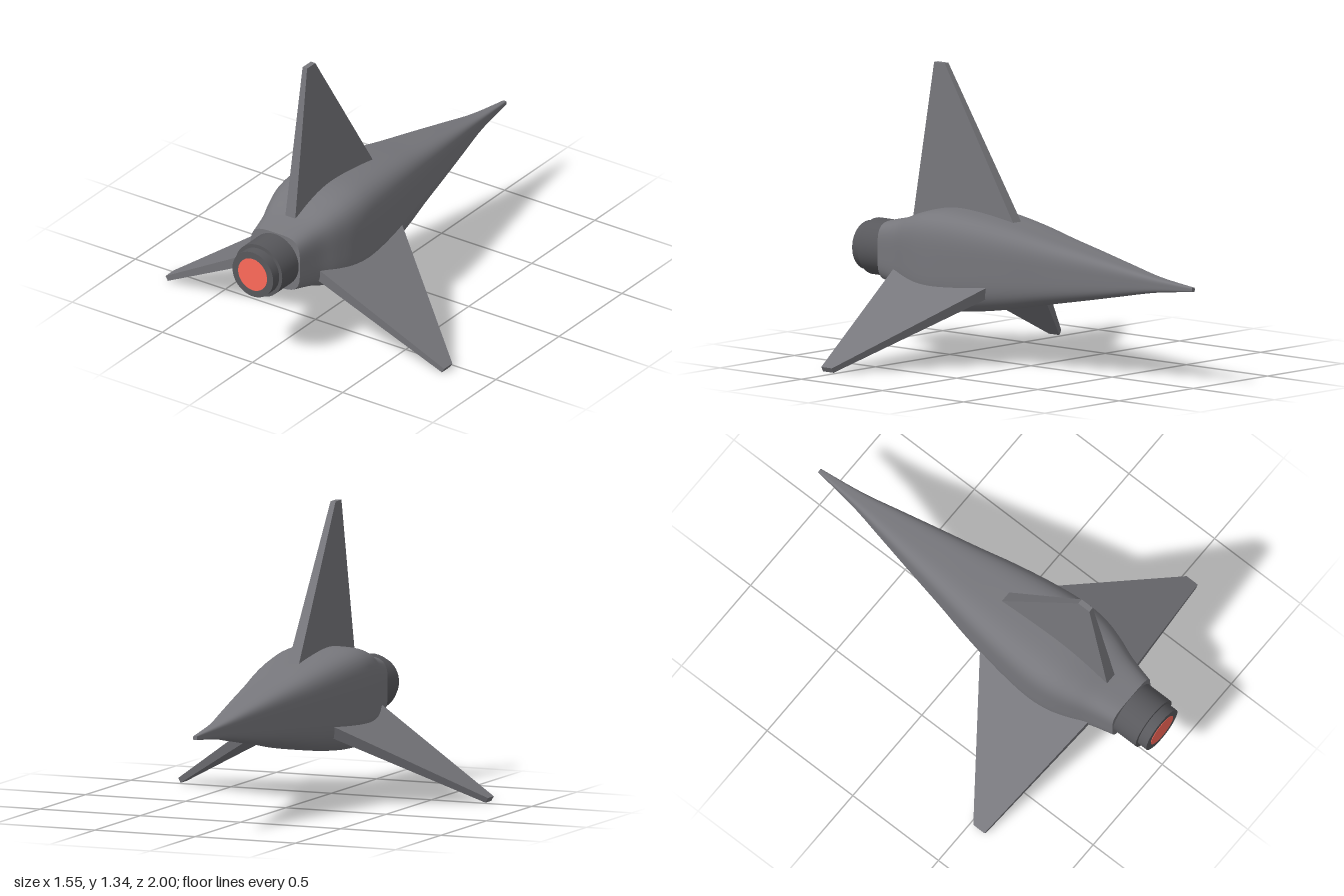
import * as THREE from 'three';
import { mergeVertices } from 'three/addons/utils/BufferGeometryUtils.js';

const AXIS_Y = 0.455;
const hullMat = new THREE.MeshStandardMaterial({ color: 0x77777c });
const nozzleMat = new THREE.MeshStandardMaterial({ color: 0x58585c });
const glowMat = new THREE.MeshStandardMaterial({ color: 0xff6a5a });

// Lathe along z whose round section is pushed out to a rounded square
function squircleLathe(points) {
  const geo = new THREE.LatheGeometry(points, 72);
  const p = geo.attributes.position;
  const n = 4;
  for (let i = 0; i < p.count; i++) {
    const x = p.getX(i), z = p.getZ(i), r = Math.hypot(x, z);
    if (r < 1e-6) continue;
    const f = Math.pow(Math.abs(x / r) ** n + Math.abs(z / r) ** n, -1 / n);
    p.setX(i, x * f);
    p.setZ(i, z * f);
  }
  geo.rotateX(Math.PI / 2);
  geo.deleteAttribute('uv');
  geo.deleteAttribute('normal');
  const merged = mergeVertices(geo, 1e-5);
  merged.computeVertexNormals();
  return merged;
}

// Tapered fin: box corners moved to root and tip chords
function finGeometry() {
  const root = { y: 0.165, back: 0.7, front: 0.065, half: 0.0275 };
  const tip = { y: 0.885, back: 0.585, front: 0.52, half: 0.0125 };
  const geo = new THREE.BoxGeometry(1, 1, 1);
  const p = geo.attributes.position;
  for (let i = 0; i < p.count; i++) {
    const e = p.getY(i) > 0 ? tip : root;
    p.setXYZ(i, Math.sign(p.getX(i)) * e.half, e.y, p.getZ(i) > 0 ? e.back : e.front);
  }
  geo.computeVertexNormals();
  return geo;
}

export function createModel() {
  const model = new THREE.Group();
  model.name = 'finnedDart';

  const add = (name, geo, mat) => {
    const mesh = new THREE.Mesh(geo, mat);
    mesh.name = name;
    mesh.position.y = AXIS_Y;
    model.add(mesh);
    return mesh;
  };

  // Fuselage: (half width, z) from nose to tail
  const profile = [
    [0.01, -1], [0.035, -0.78], [0.072, -0.58], [0.11, -0.38], [0.147, -0.18], [0.183, 0],
    [0.215, 0.2], [0.232, 0.38], [0.225, 0.5], [0.2, 0.6], [0.165, 0.7], [0.137, 0.82],
  ].map(([r, z]) => new THREE.Vector2(r, z));
  add('fuselage', squircleLathe(new THREE.SplineCurve(profile).getPoints(55)), hullMat);
  add('noseCap', squircleLathe([new THREE.Vector2(0, -1), profile[0]]), hullMat);
  add('tailCap', squircleLathe([profile[profile.length - 1], new THREE.Vector2(0, 0.82)]), hullMat);

  // Engine nozzle: stepped cylinders and the glowing exhaust
  const ring = (name, r, z0, z1, mat) => {
    const geo = new THREE.CylinderGeometry(r, r, z1 - z0, 48);
    geo.rotateX(Math.PI / 2);
    geo.translate(0, 0, (z0 + z1) / 2);
    add(name, geo, mat);
  };
  ring('nozzleCollar', 0.13, 0.8, 0.95, nozzleMat);
  ring('nozzleRim', 0.113, 0.94, 0.998, nozzleMat);
  ring('exhaustGlow', 0.08, 0.97, 1, glowMat);

  // Three fins evenly spaced around the axis
  const fin = finGeometry();
  ['topFin', 'rightFin', 'leftFin'].forEach((name, i) => {
    add(name, fin, hullMat).rotation.z = (i * Math.PI * 2) / 3;
  });

  return model;
}
